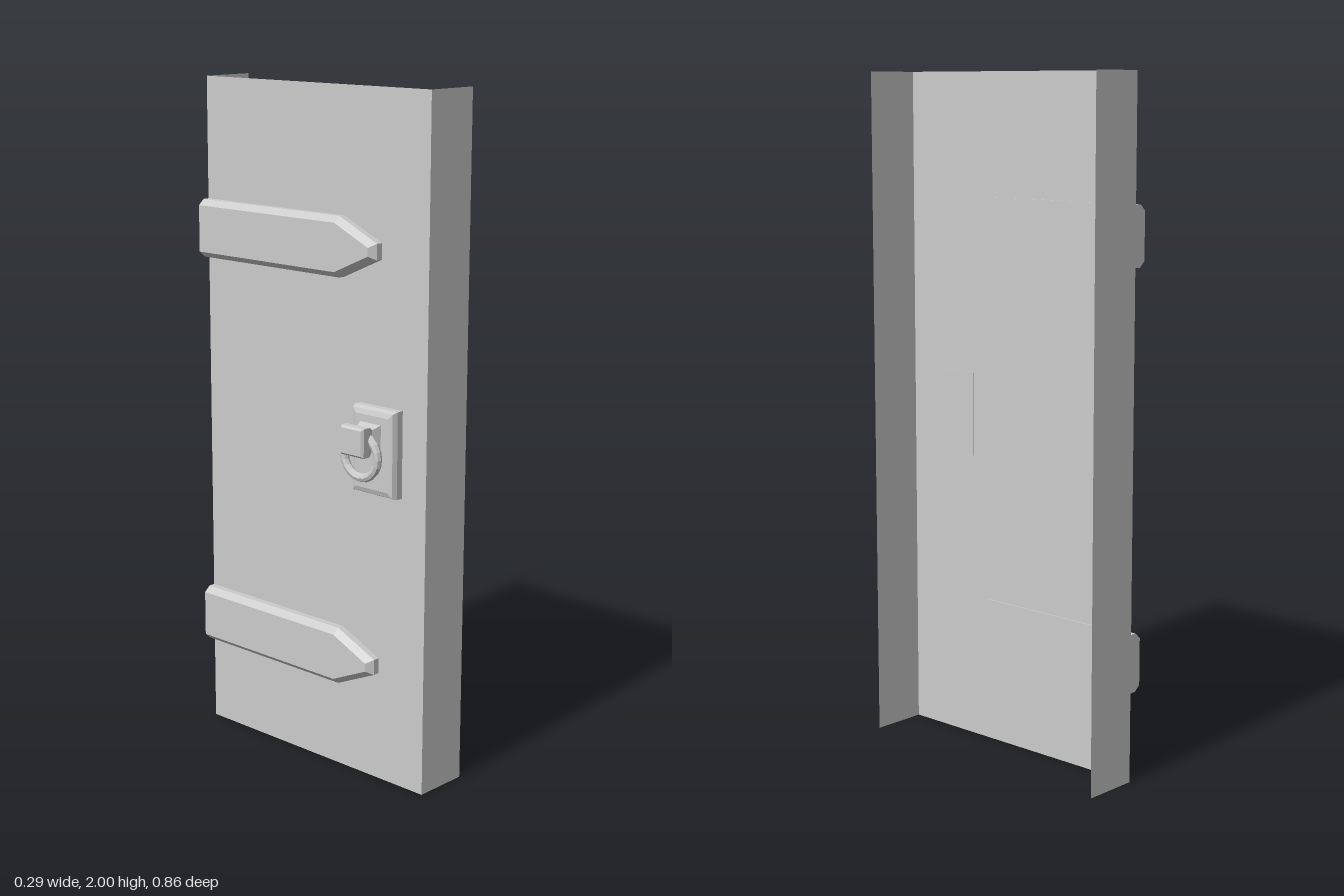
import * as THREE from 'three';

const metal = new THREE.MeshStandardMaterial({ color: 0xcccccc, flatShading: true });
const sheet = new THREE.MeshStandardMaterial({ color: 0xcccccc, side: THREE.DoubleSide });

// Solid lofted towards -x: outline(d) gives the convex (z, y) outline inset by d,
// rings lists [x, d] from the back face to the front face.
function bevelledSlab(outline, rings) {
  const pos = [], index = [];
  const n = outline(0).length;
  for (const [x, d] of rings) for (const [z, y] of outline(d)) pos.push(x, y, z);
  const last = (rings.length - 1) * n;
  for (let r = 0; r < last; r += n) {
    for (let i = 0; i < n; i++) {
      const j = (i + 1) % n;
      index.push(r + i, r + j, r + n + j, r + i, r + n + j, r + n + i);
    }
  }
  for (let i = 1; i < n - 1; i++) {
    index.push(last, last + i, last + i + 1, 0, i + 1, i);
  }
  const geo = new THREE.BufferGeometry();
  geo.setAttribute('position', new THREE.Float32BufferAttribute(pos, 3));
  geo.setIndex(index);
  const flat = geo.toNonIndexed();
  flat.computeVertexNormals();
  return flat;
}

export function createModel() {
  const group = new THREE.Group();
  const add = (name, geometry, material, parent = group) => {
    const mesh = new THREE.Mesh(geometry, material);
    mesh.name = name;
    parent.add(mesh);
    return mesh;
  };

  // Thin door sheet with a folded flange on each long edge
  const panelX = -0.025, halfWidth = 0.43, flangeEnd = 0.145;
  const panel = add('doorPanel', new THREE.PlaneGeometry(halfWidth * 2, 2), sheet);
  panel.rotation.y = -Math.PI / 2;
  panel.position.set(panelX, 1, 0);
  for (const side of [1, -1]) {
    const flange = add(side > 0 ? 'frontFlange' : 'backFlange',
      new THREE.PlaneGeometry(flangeEnd - panelX, 2), sheet);
    flange.rotation.y = side > 0 ? 0 : Math.PI;
    flange.position.set((flangeEnd + panelX) / 2, 1, side * halfWidth);
  }

  // Pointed hinge straps with chamfered edges
  const strapOutline = d => {
    const lower = [
      [-halfWidth, -0.086 + d],
      [0.12 - 0.2 * d, -0.086 + d],
      [0.26 - d, -0.023 + 0.65 * d],
    ];
    return [...lower, ...lower.map(([z, y]) => [z, -y]).reverse()];
  };
  const strapGeo = bevelledSlab(strapOutline, [[-0.021, 0], [-0.045, 0], [-0.064, 0.017]]);
  for (const [name, y] of [['upperStrap', 1.556], ['lowerStrap', 0.35]]) {
    add(name, strapGeo, metal).position.y = y;
  }

  // Handle: backing plate, waisted square post and hanging ring
  const handle = new THREE.Group();
  handle.name = 'handle';
  handle.position.z = 0.262;
  group.add(handle);

  const plateOutline = d => {
    const w = 0.08 - d, h = 0.126 - d;
    return [[-w, -h], [w, -h], [w, h], [-w, h]];
  };
  const plateGeo = bevelledSlab(plateOutline,
    [[-0.023, 0], [-0.046, 0], [-0.06, 0.006], [-0.065, 0.02]]);
  add('handlePlate', plateGeo, metal, handle).position.y = 0.995;

  // Profile as [half width, distance out from x = 0]
  const postProfile = [
    [0, 0.06], [0.039, 0.06], [0.039, 0.065], [0.029, 0.09], [0.037, 0.104],
    [0.042, 0.116], [0.042, 0.138], [0.036, 0.145], [0, 0.145],
  ].map(([r, out]) => new THREE.Vector2(r * Math.SQRT2, out));
  const postGeo = new THREE.LatheGeometry(postProfile, 4, Math.PI / 4);
  postGeo.rotateZ(Math.PI / 2);
  const post = add('handlePost', postGeo, metal, handle);
  post.position.set(0, 1.04, -0.004);

  const ringGeo = new THREE.TorusGeometry(0.0625, 0.0125, 8, 20);
  ringGeo.rotateY(Math.PI / 2);
  const ring = add('handleRing', ringGeo, metal, handle);
  ring.position.set(-0.108, 0.994, 0);

  return group;
}
